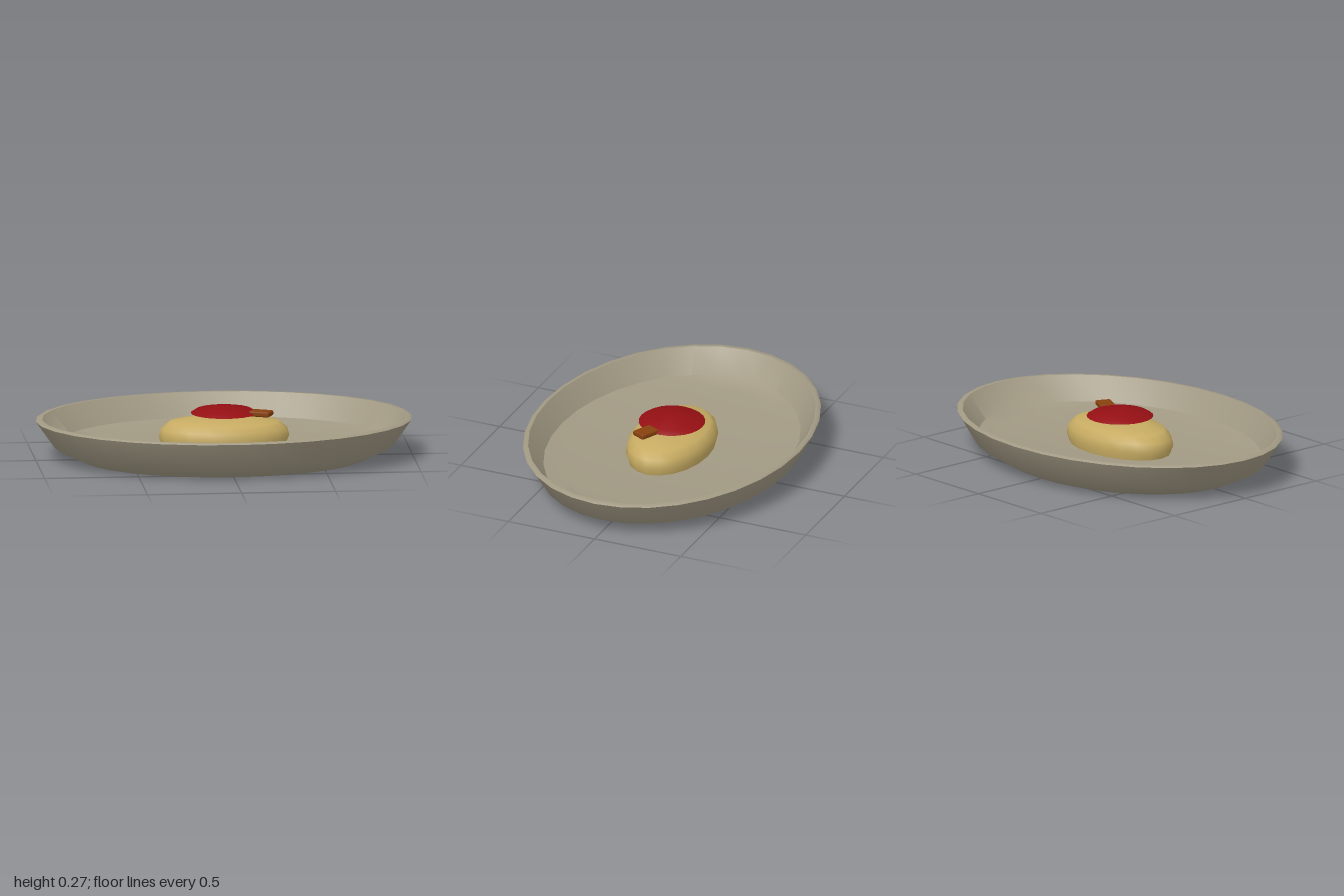
import * as THREE from 'three';
import { toCreasedNormals } from 'three/addons/utils/BufferGeometryUtils.js';
import { RoundedBoxGeometry } from 'three/addons/geometries/RoundedBoxGeometry.js';

function material(name, color) {
  const m = new THREE.MeshStandardMaterial({ color });
  m.name = name;
  return m;
}

// Oval turned solid: profile of [radius, height] from bottom axis to top axis
function ovalTurned(name, profile, segments, depthRatio, crease, mat) {
  const points = profile.map(([r, y]) => new THREE.Vector2(r, y));
  const geometry = new THREE.LatheGeometry(points, segments);
  geometry.scale(1, 1, depthRatio);
  const mesh = new THREE.Mesh(toCreasedNormals(geometry, crease), mat);
  mesh.name = name;
  return mesh;
}

export function createModel() {
  const model = new THREE.Group();
  model.name = 'servedPlate';

  const stoneware = material('greyStoneware', 0xa19983);
  const yellow = material('warmYellow', 0xc6ab62);
  const red = material('deepRed', 0x940f13);
  const brown = material('toastedBrown', 0x87400d);

  // Oval plate with chamfered rim and shallow well
  model.add(ovalTurned('plate', [
    [0, 0], [0.757, 0], [0.9, 0.066], [1, 0.208], [0.988, 0.216], [0.965, 0.216],
    [0.863, 0.095], [0.74, 0.077], [0, 0.07],
  ], 32, 0.74, 0.75, stoneware));

  // Rounded mound resting in the well
  model.add(ovalTurned('mound', [
    [0, 0.06], [0.325, 0.06], [0.347, 0.115], [0.335, 0.16],
    [0.29, 0.196], [0.17, 0.211], [0, 0.215],
  ], 20, 0.63, 0.9, yellow));

  // Shallow domed topping
  model.add(ovalTurned('topping', [
    [0, 0.24], [0.177, 0.24], [0.15, 0.257], [0, 0.274],
  ], 24, 1, 0.75, red));

  // Small turned chip at the edge of the topping
  const chip = new THREE.Mesh(new RoundedBoxGeometry(0.115, 0.028, 0.083, 1, 0.008), brown);
  chip.name = 'chip';
  chip.position.set(0.19, 0.246, 0.066);
  chip.rotation.y = -THREE.MathUtils.degToRad(25);
  model.add(chip);

  return model;
}
